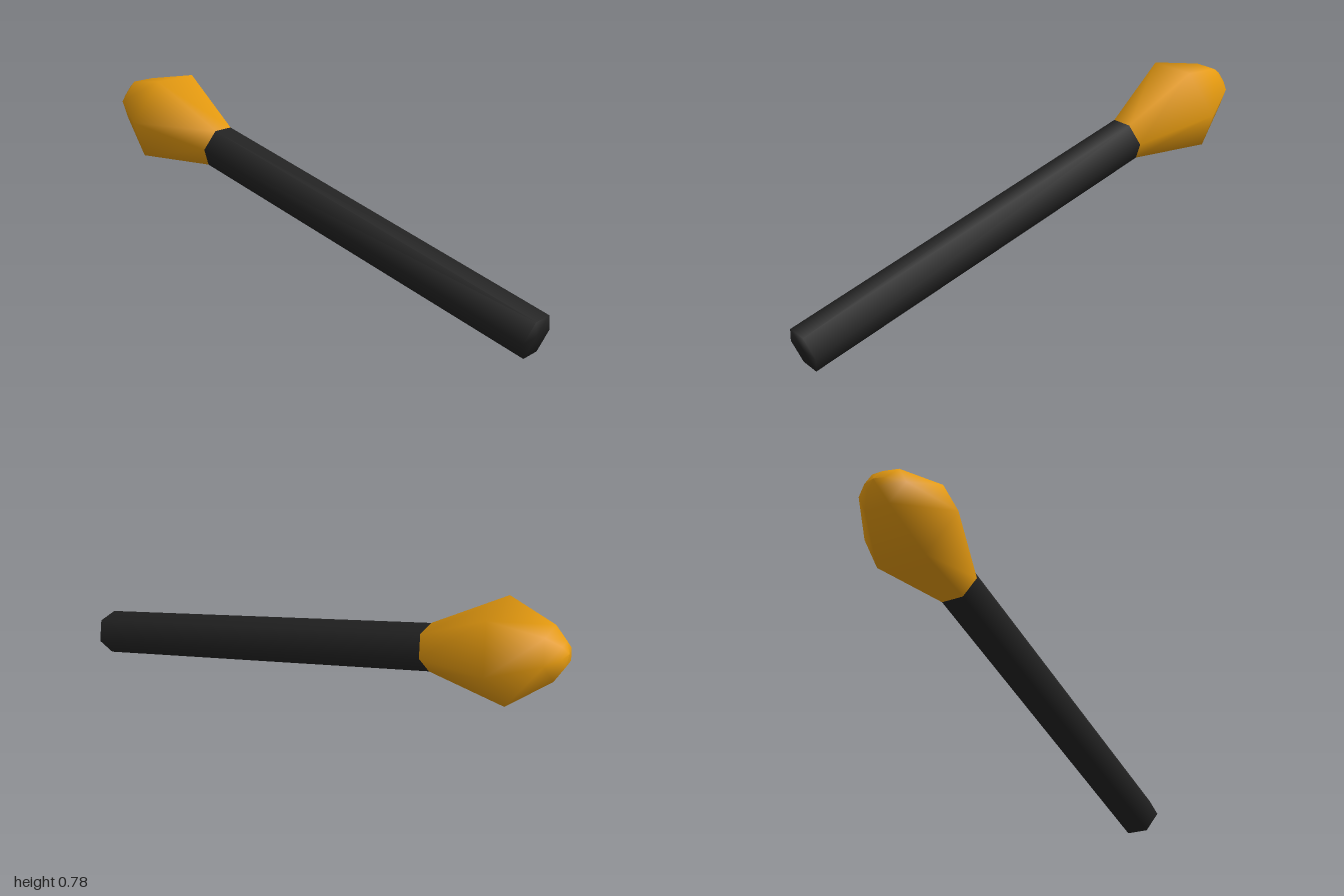
import * as THREE from 'three';

const SIDES = 6;

// Six-sided turned part from [radius, distance along the axis] pairs
function turned(name, profile, material) {
  const points = profile.map(([r, d]) => new THREE.Vector2(r, d));
  const mesh = new THREE.Mesh(new THREE.LatheGeometry(points, SIDES, Math.PI / 2), material);
  mesh.name = name;
  return mesh;
}

export function createModel() {
  const black = new THREE.MeshStandardMaterial({ color: 0x232323 });
  black.name = 'black';
  const amber = new THREE.MeshStandardMaterial({ color: 0xe59a10 });
  amber.name = 'amber';

  const base = new THREE.Vector3(0.365, 0.077, 0.965);
  const neck = new THREE.Vector3(-0.158, 0.53, -0.485);
  const length = base.distanceTo(neck);

  // Handle, closed at its lower end
  const handle = turned('handle', [[0, 0], [0.09, 0], [0.09, length]], black);

  // Head: flares to its widest ring, then closes in a blunt tip
  const head = turned('head', [
    [0.09, 0], [0.2, 0.316], [0.1, 0.5], [0.045, 0.545], [0, 0.555],
  ], amber);
  head.position.y = length;

  // Lean the whole club along its axis, keeping one pair of corners level
  const axis = neck.clone().sub(base).normalize();
  const level = new THREE.Vector3(-axis.z, 0, axis.x).normalize();
  const third = level.clone().cross(axis);
  const club = new THREE.Group();
  club.name = 'club';
  club.add(handle, head);
  club.quaternion.setFromRotationMatrix(new THREE.Matrix4().makeBasis(level, axis, third));
  club.position.copy(base);

  const model = new THREE.Group();
  model.name = 'model';
  model.add(club);
  return model;
}
